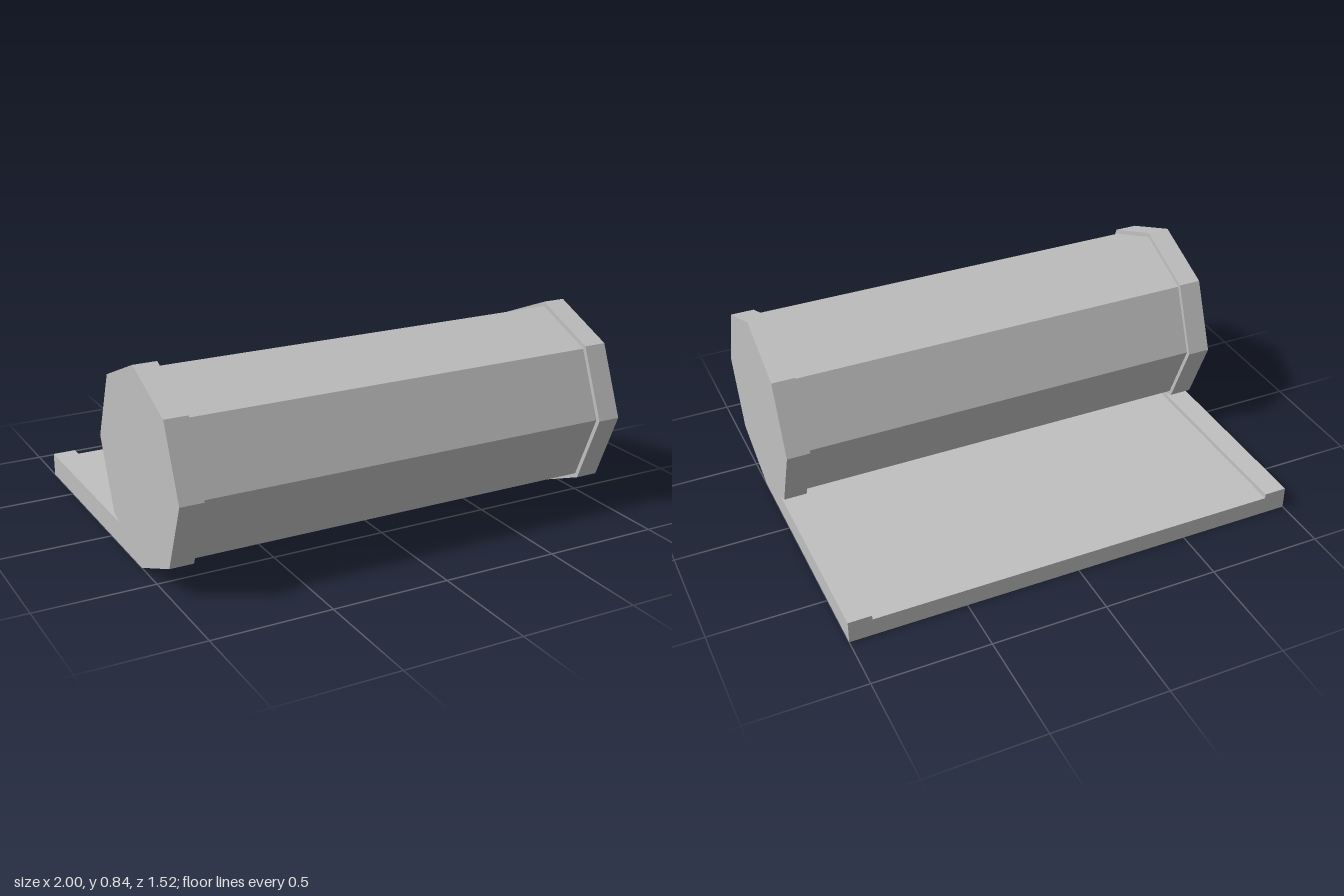
import * as THREE from 'three';

export function createModel() {
  const group = new THREE.Group();
  const grey = new THREE.MeshStandardMaterial({ color: 0xc0c0c0 });
  grey.name = 'plain grey';
  const axisY = 0.42, axisZ = 0.34, back = -0.76;

  // Extrudes a (z, y) outline along x, centred on the given x
  function addProfile(name, points, width, x) {
    const shape = new THREE.Shape(points.map(([z, y]) => new THREE.Vector2(-z, y)));
    const geometry = new THREE.ExtrudeGeometry(shape, { depth: width, bevelEnabled: false });
    geometry.translate(0, 0, -width / 2);
    geometry.rotateY(Math.PI / 2); // shape x becomes -z, depth becomes x
    const mesh = new THREE.Mesh(geometry, grey);
    mesh.name = name;
    mesh.position.x = x;
    group.add(mesh);
  }

  // Corner of an octagon around the roll axis
  const corner = (radius, i) => [
    axisZ + radius * Math.cos(i * Math.PI / 4),
    axisY + radius * Math.sin(i * Math.PI / 4),
  ];

  // End pieces: octagon and raised tray edge in one outline
  const endOutline = [];
  for (let i = -2; i <= 5; i++) endOutline.push(corner(0.42, i));
  endOutline.push([0.1, 0.1], [back, 0.1], [back, 0]);
  addProfile('leftEnd', endOutline, 0.1, 0.95);
  addProfile('rightEnd', endOutline, 0.1, -0.95);

  // Slightly thinner eight-sided roll between the ends
  const rollOutline = [];
  for (let i = 0; i < 8; i++) rollOutline.push(corner(0.4, i));
  addProfile('roll', rollOutline, 1.8, 0);

  // Recessed flat sheet behind and under the roll
  addProfile('sheet', [[axisZ, 0], [axisZ, 0.08], [back, 0.08], [back, 0]], 1.8, 0);

  return group;
}
